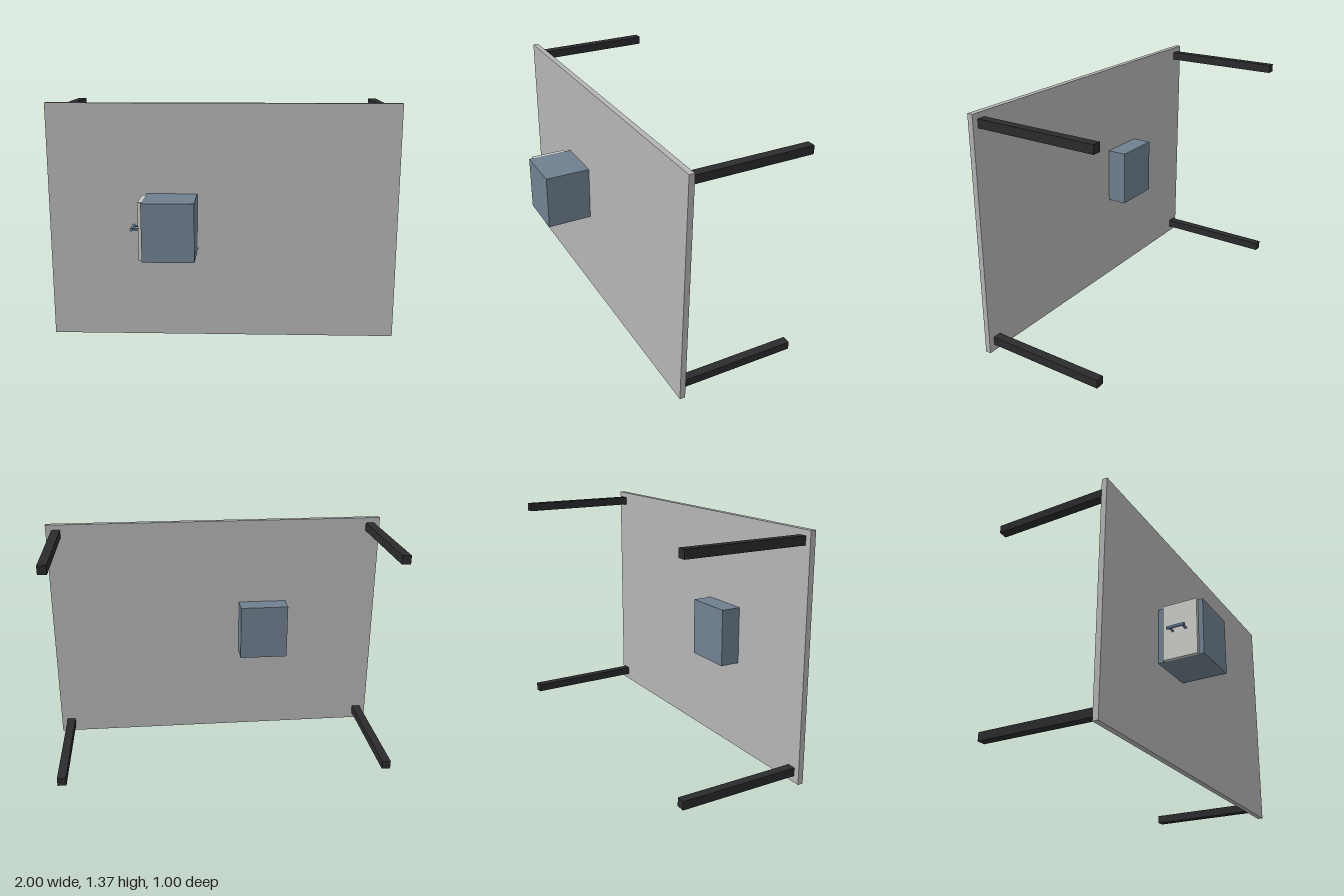
import * as THREE from 'three';

const material = (name, color) => {
  const m = new THREE.MeshStandardMaterial({ color });
  m.name = name;
  return m;
};

export function createModel() {
  const model = new THREE.Group();
  const panelGrey = material('panel grey', 0xb5b5b5);
  const charcoal = material('charcoal', 0x2b2b2e);
  const slate = material('slate blue', 0x708090);
  const paleGrey = material('pale grey', 0xcdcdc8);
  const steel = material('steel blue', 0x66829a);

  // Box spanning two opposite corners
  const box = (name, mat, [x0, y0, z0], [x1, y1, z1], parent = model) => {
    const mesh = new THREE.Mesh(new THREE.BoxGeometry(x1 - x0, y1 - y0, z1 - z0), mat);
    mesh.position.set((x0 + x1) / 2, (y0 + y1) / 2, (z0 + z1) / 2);
    mesh.name = name;
    parent.add(mesh);
  };

  // Upright panel
  box('panel', panelGrey, [-1, 0, 0.199], [1, 1.366, 0.231]);

  // Four legs reaching back from the corners
  for (const x of [-0.94, 0.94]) {
    for (const y of [0.061, 1.311]) {
      box('leg', charcoal, [x - 0.025, y - 0.024, -0.502], [x + 0.025, y + 0.024, 0.199]);
    }
  }

  // Cabinet passing through the panel, with a door on its right side
  box('cabinet', slate, [-0.435, 0.521, 0.083], [-0.145, 0.851, 0.502]);
  box('door', paleGrey, [-0.455, 0.521, 0.27], [-0.435, 0.851, 0.474]);

  // Door handle: a round grip on two posts
  const handle = new THREE.Group();
  handle.name = 'handle';
  handle.position.set(-0.5, 0.685, 0.369);
  const grip = new THREE.Mesh(new THREE.CylinderGeometry(0.009, 0.009, 0.106, 20), steel);
  grip.rotation.x = Math.PI / 2;
  grip.name = 'grip';
  handle.add(grip);
  for (const z of [-0.039, 0.039]) {
    const post = new THREE.Mesh(new THREE.CylinderGeometry(0.006, 0.006, 0.045, 16), steel);
    post.rotation.z = Math.PI / 2;
    post.position.set(0.0225, 0, z);
    post.name = 'post';
    handle.add(post);
  }
  model.add(handle);

  return model;
}
